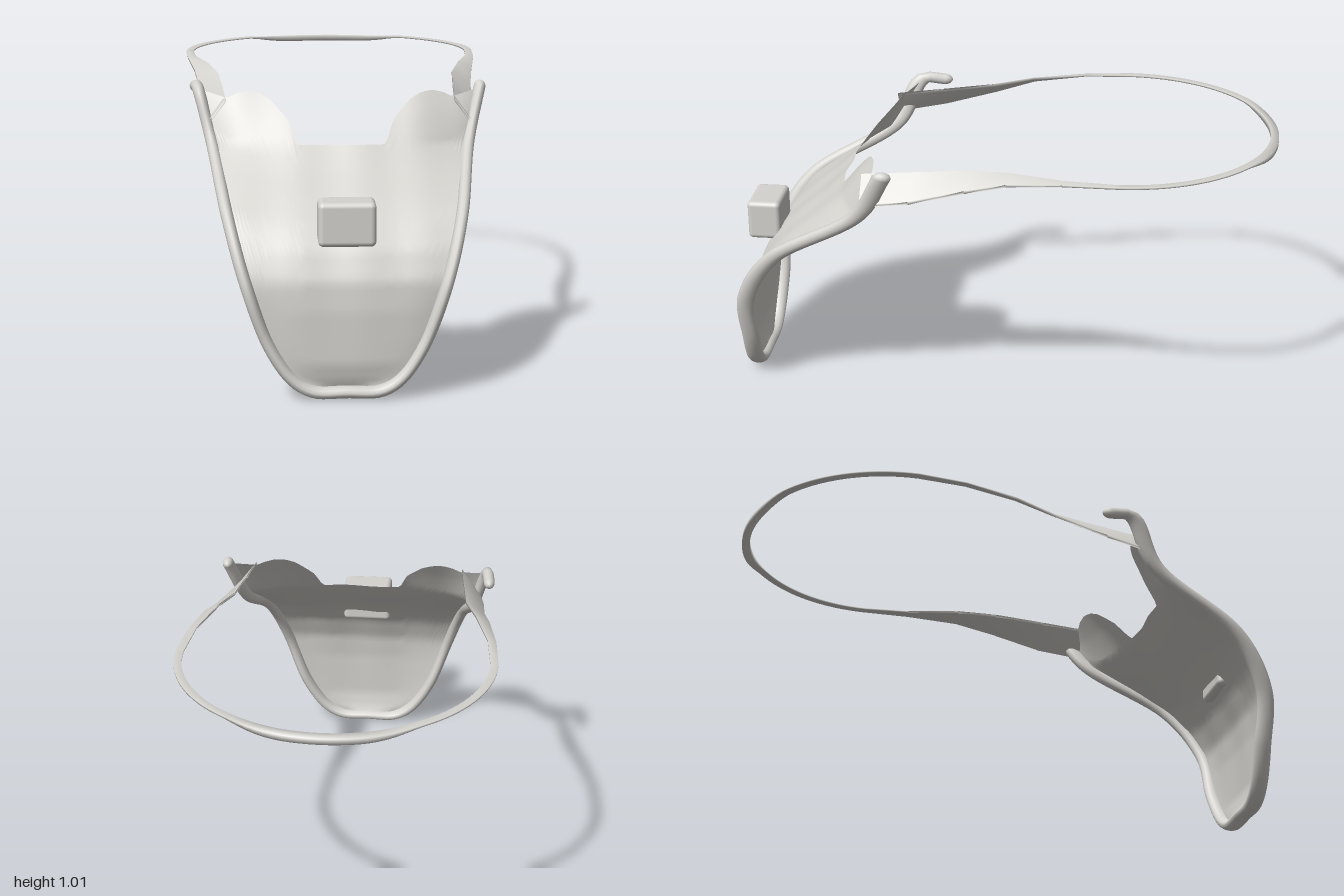
import * as THREE from 'three';
import { RoundedBoxGeometry } from 'three/addons/geometries/RoundedBoxGeometry.js';

const V = (x, y, z) => new THREE.Vector3(x, y, z);

// Linear lookup through [input, output] pairs
function lookup(pairs, t) {
  if (t <= pairs[0][0]) return pairs[0][1];
  for (let i = 1; i < pairs.length; i++) {
    const [a, va] = pairs[i - 1], [b, vb] = pairs[i];
    if (t <= b) return va + (vb - va) * (t - a) / (b - a);
  }
  return pairs[pairs.length - 1][1];
}

// Half width of the bib, and depth of its middle and of its edge, by height
const halfWidth = [[0.02, 0.1], [0.035, 0.145], [0.06, 0.18], [0.1, 0.215], [0.2, 0.272],
  [0.4, 0.342], [0.6, 0.4], [0.8, 0.455], [0.98, 0.505]];
const middleZ = [[0.02, 0.945], [0.06, 0.962], [0.12, 0.975], [0.3, 0.972], [0.4, 0.96], [0.5, 0.915],
  [0.57, 0.86], [0.65, 0.775], [0.72, 0.69], [0.8, 0.605], [0.9, 0.53], [0.98, 0.465]];
const edgeZ = [[0.02, 0.965], [0.2, 0.955], [0.4, 0.945], [0.5, 0.9], [0.6, 0.82],
  [0.7, 0.67], [0.8, 0.5], [0.9, 0.44], [0.98, 0.39]];
// Neckline height by distance from the middle
const neckline = [[0, 0.805], [0.155, 0.805], [0.183, 0.88], [0.21, 0.91], [0.25, 0.95], [0.29, 0.97],
  [0.33, 0.975], [0.37, 0.965], [0.4, 0.95], [0.44, 0.96], [0.5, 0.975]];
const lowerEdge = halfWidth.map(([y, w]) => [w, y]);

// Grid surface from rows of points
function gridGeometry(rows, closed) {
  const n = rows[0].length, pos = [], index = [];
  rows.forEach(row => row.forEach(p => pos.push(p.x, p.y, p.z)));
  for (let i = 0; i < rows.length - 1; i++) {
    for (let j = 0; j < (closed ? n : n - 1); j++) {
      const k = (j + 1) % n;
      const a = i * n + j, b = i * n + k, c = (i + 1) * n + j, d = (i + 1) * n + k;
      index.push(a, c, b, b, c, d);
    }
  }
  const g = new THREE.BufferGeometry();
  g.setAttribute('position', new THREE.Float32BufferAttribute(pos, 3));
  g.setIndex(index);
  g.computeVertexNormals();
  return g;
}

// Curved sheet with two rounded wings either side of the neckline
function panelGeometry() {
  const columns = [];
  for (let i = 0; i <= 80; i++) {
    const x = -0.495 + 0.99 * i / 80, ax = Math.abs(x);
    const y0 = lookup(lowerEdge, ax), y1 = lookup(neckline, ax);
    const column = [];
    for (let j = 0; j <= 40; j++) {
      const y = y0 + (y1 - y0) * j / 40;
      const side = Math.min(1, ax / lookup(halfWidth, y));
      const z = THREE.MathUtils.lerp(lookup(middleZ, y), lookup(edgeZ, y), side ** 3);
      const ripple = 0.005 * Math.sin(x * 28) * y * (1 - side ** 4);
      column.push(V(x, y, z + ripple));
    }
    columns.push(column);
  }
  return gridGeometry(columns, false);
}

// Rolled rim with an oval section, deeper than it is wide
function rimParts(material) {
  const group = new THREE.Group(), deep = 1.6, r = 0.021;
  group.name = 'rim';
  const right = halfWidth.map(([y, w]) => V(w, y, lookup(edgeZ, y) / deep)).reverse();
  const left = right.map(p => V(-p.x, p.y, p.z)).reverse();
  left.push(V(-0.515, 0.975, 0.31 / deep));
  const points = [...right, V(0, 0.021, 0.965 / deep), ...left];
  const tube = new THREE.TubeGeometry(new THREE.CatmullRomCurve3(points, false, 'centripetal'), 140, r, 12);
  const add = (geometry, name) => {
    geometry.scale(1, 1, deep);
    const mesh = new THREE.Mesh(geometry, material);
    mesh.name = name;
    group.add(mesh);
  };
  add(tube, 'rimRoll');
  for (const p of [points[0], points[points.length - 1]]) {
    add(new THREE.SphereGeometry(r, 12, 8).translate(p.x, p.y, p.z), 'rimEnd');
  }
  return group;
}

// Neck strap: a band that twists and widens where it meets the wings
function strapGeometry() {
  // inner x, inner y, outer x, outer y, z, thickness
  const arm = [
    [0.405, 0.95, 0.475, 0.86, 0.48, 0.012],
    [0.418, 0.97, 0.497, 0.89, 0.3, 0.012],
    [0.435, 0.992, 0.505, 0.945, 0.1, 0.012],
    [0.475, 1.01, 0.526, 0.985, -0.05, 0.01],
    [0.525, 1.01, 0.556, 1.005, -0.25, 0.006]
  ];
  const half = arm.map(([ax, ay, bx, by, z, t]) => ({ a: V(ax, ay, z), b: V(bx, by, z), t }));
  const steps = 28;
  for (let i = 0; i <= steps; i++) {
    const ang = i / steps * Math.PI / 2, c = Math.cos(ang), s = Math.sin(ang);
    const drop = THREE.MathUtils.smoothstep(s, 0.8, 0.98);
    half.push({
      a: V(0.54 * c, 1.01 - 0.003 * drop, -0.43 - 0.54 * s),
      b: V(0.568 * c, 1.01 - 0.009 * drop, -0.43 - 0.57 * s),
      t: 0.006 + 0.016 * drop
    });
  }
  const mirrored = half.slice(0, -1).reverse().map(({ a, b, t }) =>
    ({ a: V(-a.x, a.y, a.z), b: V(-b.x, b.y, b.z), t }));
  const rows = [...half, ...mirrored].map(({ a, b, t }) =>
    [a, b, V(b.x, b.y - t, b.z), V(a.x, a.y - t, a.z)]);
  return gridGeometry(rows, true);
}

export function createModel() {
  const model = new THREE.Group();
  model.name = 'bib';
  const cloth = new THREE.MeshStandardMaterial({ color: 0xd5d3ce, side: THREE.DoubleSide });
  cloth.name = 'offWhite';

  const panel = new THREE.Mesh(panelGeometry(), cloth);
  panel.name = 'panel';

  const strap = new THREE.Mesh(strapGeometry(), cloth);
  strap.name = 'neckStrap';

  // Small rounded block on the chest
  const block = new THREE.Mesh(new RoundedBoxGeometry(0.194, 0.15, 0.126, 4, 0.018), cloth);
  block.name = 'chestBlock';
  block.position.set(0, 0.6, 0.924);

  model.add(panel, rimParts(cloth), strap, block);
  return model;
}
